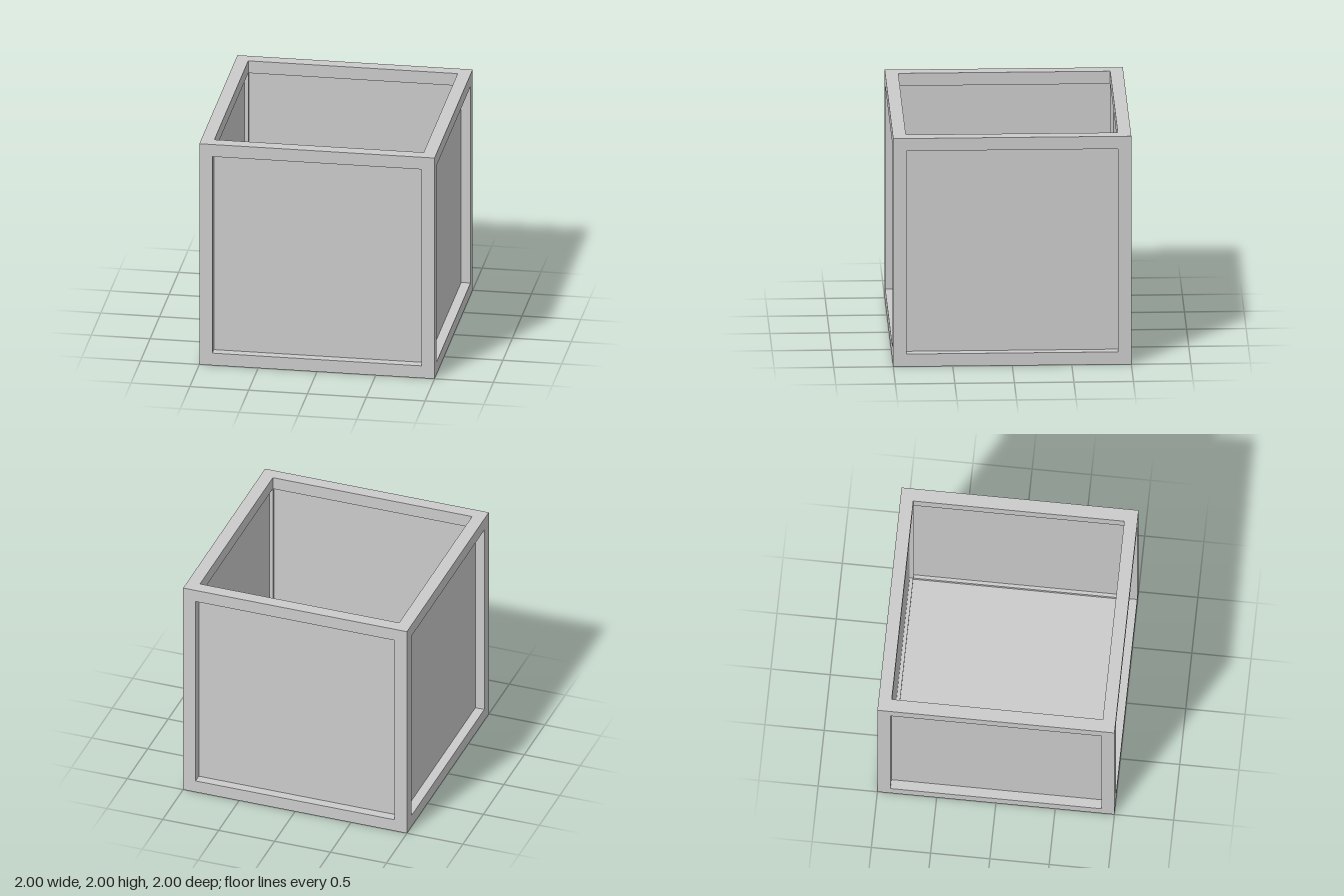
import * as THREE from 'three';
import { mergeGeometries } from 'three/addons/utils/BufferGeometryUtils.js';

const HALF = 1;        // half the cube's side
const OPENING = 0.89;  // half the opening between the bars
const SHEET = 0.92;    // distance of the thin panels from the centre

// One side of the frame, facing +z: flat border plus the four inner bar faces
function frameSideGeometry() {
  const square = (Type, h) => new Type([
    new THREE.Vector2(-h, -h), new THREE.Vector2(h, -h),
    new THREE.Vector2(h, h), new THREE.Vector2(-h, h),
  ]);
  const border = square(THREE.Shape, HALF);
  border.holes.push(square(THREE.Path, OPENING));
  const parts = [new THREE.ShapeGeometry(border).translate(0, 0, HALF)];
  for (let i = 0; i < 4; i++) {
    parts.push(new THREE.PlaneGeometry(OPENING * 2, HALF - OPENING)
      .rotateX(Math.PI / 2)
      .translate(0, OPENING, (HALF + OPENING) / 2)
      .rotateZ(i * Math.PI / 2));
  }
  return mergeGeometries(parts);
}

export function createModel() {
  const model = new THREE.Group();
  model.name = 'openBox';
  const frameMaterial = new THREE.MeshStandardMaterial({ color: 0xcccccc });
  const panelMaterial = new THREE.MeshStandardMaterial({ color: 0xcccccc, side: THREE.DoubleSide });

  const sideGeometry = frameSideGeometry();
  const panelGeometry = new THREE.PlaneGeometry(OPENING * 2, OPENING * 2).translate(0, 0, SHEET);

  // Rotations that turn the front side to each face of the cube
  const q = Math.PI / 2;
  const sides = {
    front: [0, 0], left: [0, q], back: [0, Math.PI], right: [0, -q],
    top: [-q, 0], bottom: [q, 0],
  };

  for (const [name, [rx, ry]] of Object.entries(sides)) {
    const side = new THREE.Group();
    side.name = `${name}Side`;
    side.position.y = HALF;
    side.rotation.set(rx, ry, 0);

    const frame = new THREE.Mesh(sideGeometry, frameMaterial);
    frame.name = `${name}Frame`;
    side.add(frame);

    // The top stays open
    if (name !== 'top') {
      const panel = new THREE.Mesh(panelGeometry, panelMaterial);
      panel.name = `${name}Panel`;
      side.add(panel);
    }
    model.add(side);
  }
  return model;
}
